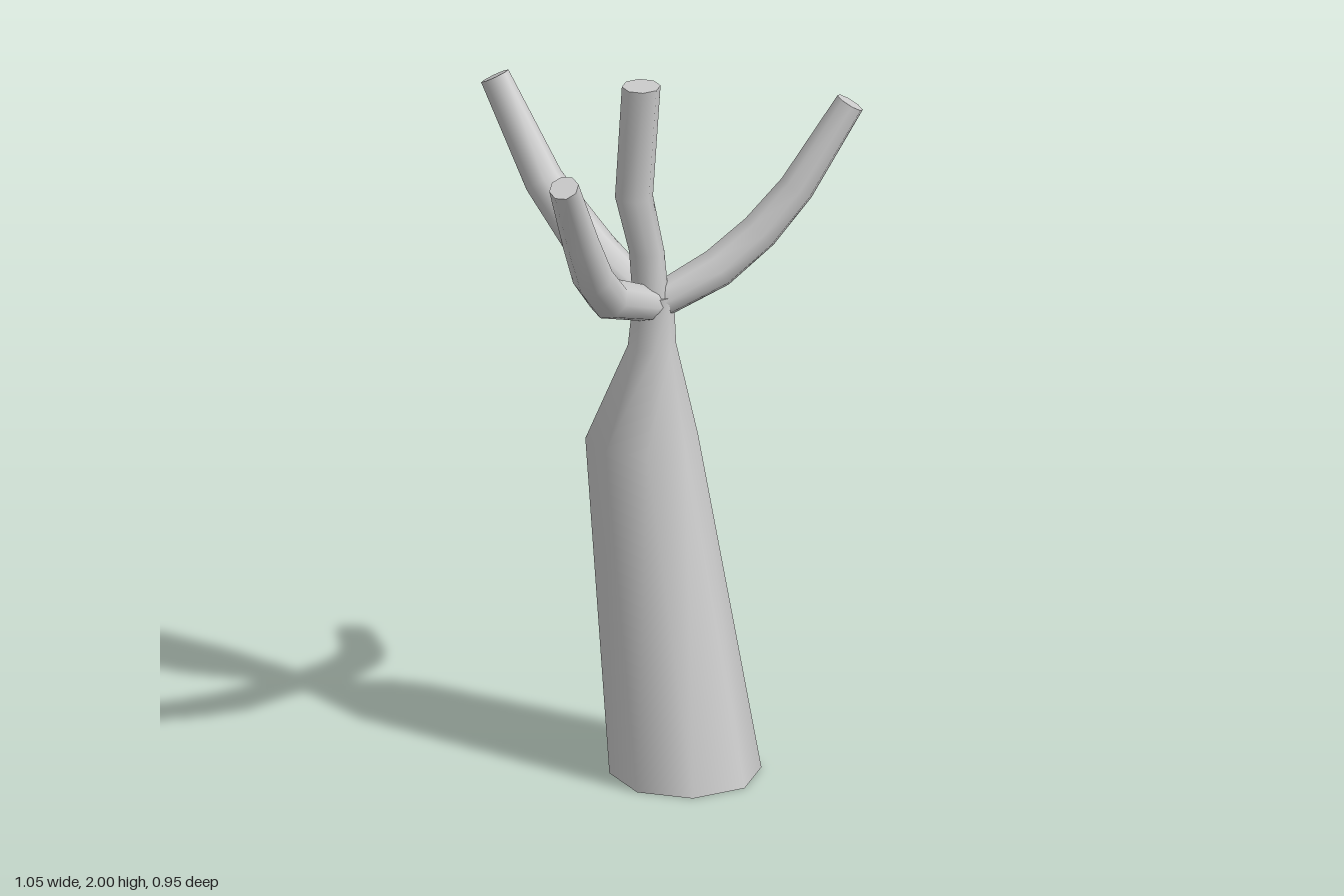
import * as THREE from 'three';

const SIDES = 8;

// Smooth tapered limb through rings of [x, y, z, radius], closed with flat caps.
// level = true keeps every ring horizontal.
function limb(name, rings, material, level = false) {
  const up = new THREE.Vector3(0, 1, 0);
  const centres = rings.map(r => new THREE.Vector3(r[0], r[1], r[2]));
  const last = rings.length - 1;
  const positions = [], index = [];
  const loops = rings.map((ring, i) => {
    const next = centres[Math.min(i + 1, last)], prev = centres[Math.max(i - 1, 0)];
    const axis = level ? up : next.clone().sub(prev).normalize();
    const turn = new THREE.Quaternion().setFromUnitVectors(up, axis);
    return Array.from({ length: SIDES }, (_, j) => {
      const a = j / SIDES * Math.PI * 2;
      return new THREE.Vector3(Math.sin(a), 0, Math.cos(a))
        .multiplyScalar(ring[3]).applyQuaternion(turn).add(centres[i]);
    });
  });
  loops.forEach(loop => loop.forEach(p => positions.push(p.x, p.y, p.z)));
  for (let i = 0; i < last; i++) {
    for (let j = 0; j < SIDES; j++) {
      const a = i * SIDES + j, b = i * SIDES + (j + 1) % SIDES;
      index.push(a, b, b + SIDES, a, b + SIDES, a + SIDES);
    }
  }
  // caps use their own corners so the rims stay sharp
  for (const [loop, flip] of [[loops[0], true], [loops[last], false]]) {
    const start = positions.length / 3;
    loop.forEach(p => positions.push(p.x, p.y, p.z));
    for (let j = 1; j < SIDES - 1; j++) {
      if (flip) index.push(start, start + j + 1, start + j);
      else index.push(start, start + j, start + j + 1);
    }
  }
  const geometry = new THREE.BufferGeometry();
  geometry.setAttribute('position', new THREE.Float32BufferAttribute(positions, 3));
  geometry.setIndex(index);
  geometry.computeVertexNormals();
  const mesh = new THREE.Mesh(geometry, material);
  mesh.name = name;
  return mesh;
}

export function createModel() {
  const bark = new THREE.MeshStandardMaterial({ color: 0xcccccc });
  bark.name = 'bark grey';
  const group = new THREE.Group();
  group.name = 'bareTree';

  // leaning trunk, narrowing sharply below the fork
  group.add(limb('trunk', [
    [0.043, 0, 0.217, 0.208],
    [0.045, 0.94, 0.062, 0.154],
    [0.043, 1.22, 0.1, 0.066],
    [0.04, 1.37, 0.108, 0.055],
  ], bark, true));

  // upright branch with a level tip
  group.add(limb('uprightBranch', [
    [0.035, 1.33, 0.105, 0.05],
    [0.02, 1.5, 0.1, 0.048],
    [-0.02, 1.67, 0.088, 0.052],
    [-0.022, 2, 0.115, 0.053],
  ], bark, true));

  // three branches that spread out and curve upward
  group.add(limb('rightBranch', [
    [0.03, 1.345, 0.11, 0.045],
    [0, 1.355, 0.11, 0.05],
    [-0.18, 1.43, 0.13, 0.058],
    [-0.28, 1.53, 0.155, 0.056],
    [-0.375, 1.67, 0.19, 0.05],
    [-0.49, 1.875, 0.225, 0.041],
  ], bark));

  group.add(limb('leftBranch', [
    [0.03, 1.34, 0.1, 0.045],
    [0.06, 1.35, 0.12, 0.05],
    [0.19, 1.425, 0.21, 0.057],
    [0.285, 1.52, 0.28, 0.055],
    [0.365, 1.64, 0.345, 0.05],
    [0.485, 1.875, 0.435, 0.041],
  ], bark));

  group.add(limb('backBranch', [
    [0.04, 1.345, 0.09, 0.05],
    [0.045, 1.36, 0.045, 0.055],
    [0.048, 1.44, -0.11, 0.066],
    [0.05, 1.6, -0.285, 0.054],
    [0.025, 1.875, -0.437, 0.041],
  ], bark));

  return group;
}
